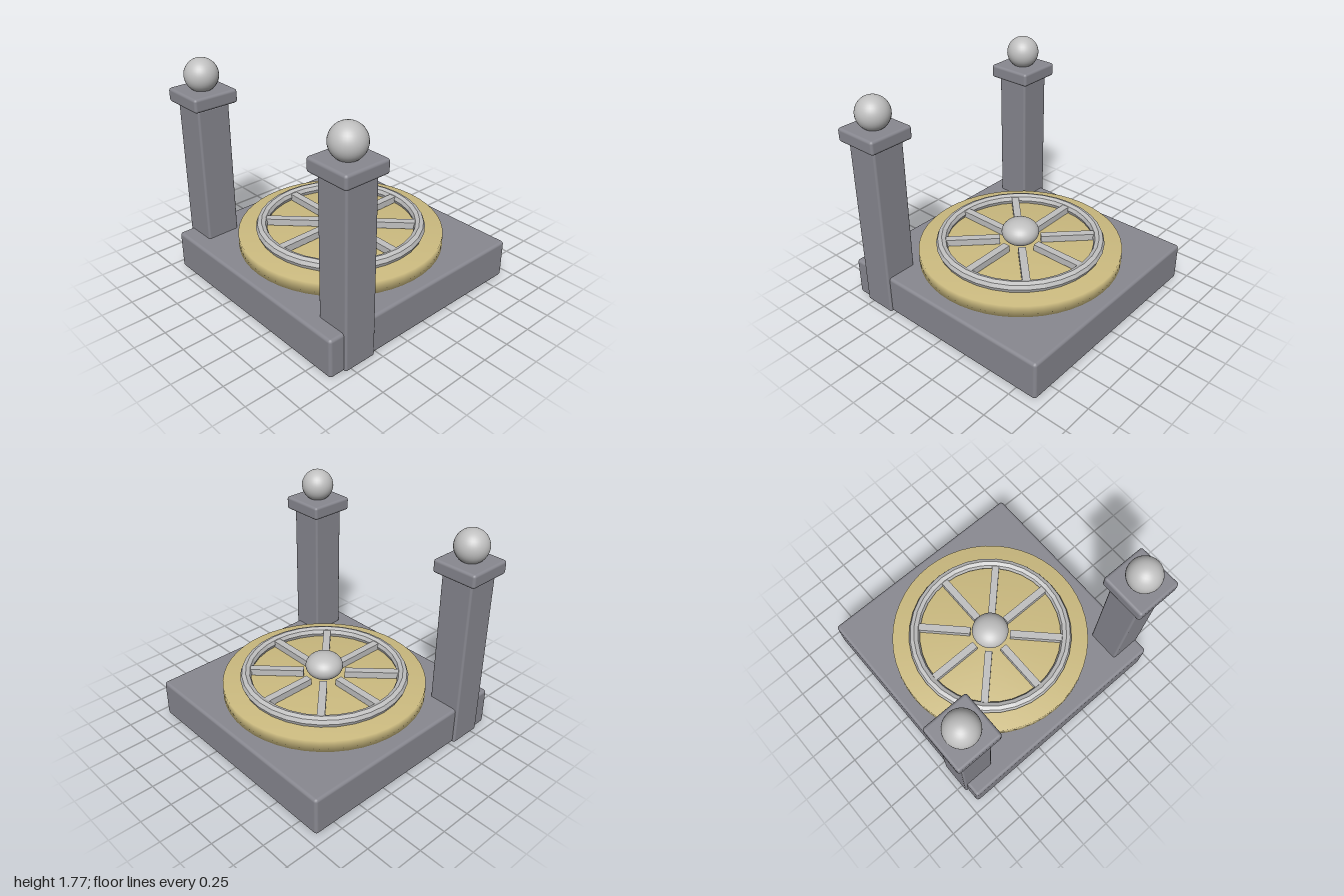
import * as THREE from 'three';
import { RoundedBoxGeometry } from 'three/addons/geometries/RoundedBoxGeometry.js';

export function createModel() {
  const model = new THREE.Group();
  model.name = 'wheelPlatform';

  const stone = new THREE.MeshStandardMaterial({ color: 0x888890 });
  stone.name = 'greyStone';
  const gold = new THREE.MeshStandardMaterial({ color: 0xccbb80 });
  gold.name = 'paleGold';
  const silver = new THREE.MeshStandardMaterial({ color: 0xc0c0c0 });
  silver.name = 'silver';
  const facetedSilver = silver;

  const add = (parent, name, geometry, material, x, y, z) => {
    const mesh = new THREE.Mesh(geometry, material);
    mesh.name = name;
    mesh.position.set(x, y, z);
    parent.add(mesh);
    return mesh;
  };

  // Square base slab with softened edges
  add(model, 'base', new RoundedBoxGeometry(1.86, 0.32, 1.86, 2, 0.025), stone, 0, 0.16, 0);

  // Two front posts, each with a cap and a ball
  for (const side of [-1, 1]) {
    const post = new THREE.Group();
    post.name = side > 0 ? 'leftPost' : 'rightPost';
    post.position.set(side * 0.8125, 0, 0.67);
    model.add(post);
    add(post, 'postShaft', new RoundedBoxGeometry(0.275, 1.42, 0.275, 2, 0.018), stone, 0, 0.71, 0);
    add(post, 'postCap', new RoundedBoxGeometry(0.375, 0.11, 0.375, 2, 0.022), stone, 0, 1.48, 0);
    add(post, 'postBall', new THREE.SphereGeometry(0.132, 32, 20), silver, 0, 1.642, 0);
  }

  // Round plate, softly shaded over its rim
  const plateProfile = [[0, 0.3], [0.815, 0.3], [0.815, 0.42], [0, 0.42]]
    .map(([r, y]) => new THREE.Vector2(r, y));
  add(model, 'plate', new THREE.LatheGeometry(plateProfile, 48), gold, 0, 0, 0);

  // Wheel lying on the plate
  const wheel = new THREE.Group();
  wheel.name = 'wheel';
  wheel.position.y = 0.455;
  model.add(wheel);

  // Faceted rim: unshared corners with face normals
  const rimGeometry = new THREE.TorusGeometry(0.63, 0.045, 8, 32).rotateX(-Math.PI / 2).toNonIndexed();
  rimGeometry.computeVertexNormals();
  add(wheel, 'rim', rimGeometry, facetedSilver, 0, 0, 0);

  // Eight spokes, stopping short of the hub
  const spokeGeometry = new THREE.BoxGeometry(0.43, 0.055, 0.06).translate(0.38, 0, 0);
  for (let i = 0; i < 8; i++) {
    add(wheel, 'spoke', spokeGeometry, silver, 0, 0, 0).rotation.y = (i * Math.PI) / 4;
  }

  // Flattened domed hub
  const hubGeometry = new THREE.SphereGeometry(0.15, 32, 20).scale(1, 0.7, 1);
  add(wheel, 'hub', hubGeometry, silver, 0, 0.07, 0);

  return model;
}
